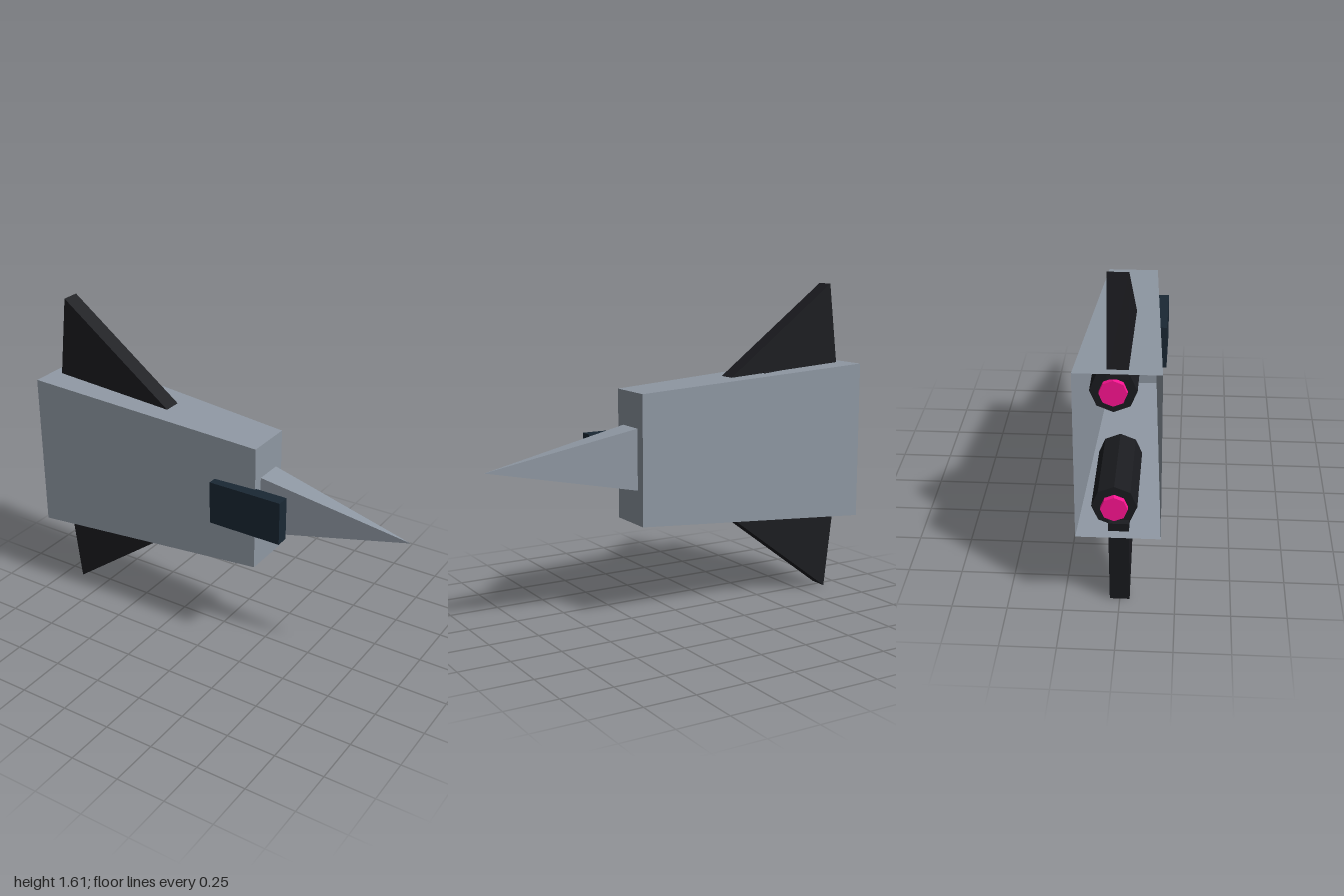
import * as THREE from 'three';

const MID = 0.81; // height of the craft's long axis

const material = (color) =>
  new THREE.MeshStandardMaterial({ color, flatShading: true, side: THREE.DoubleSide });

export function createModel() {
  const model = new THREE.Group();
  model.name = 'spacecraft';
  const hullGrey = material(0x8f98a3);
  const black = material(0x1b1c20);
  const glass = material(0x1a2834);
  const pink = material(0xff1493);

  const add = (name, geometry, mat, x, y, z) => {
    const mesh = new THREE.Mesh(geometry, mat);
    mesh.name = name;
    mesh.position.set(x, y, z);
    model.add(mesh);
    return mesh;
  };

  // Hull: box tapering toward the nose, open at the rear
  const hull = new THREE.BoxGeometry(1.25, 0.8, 0.37);
  const p = hull.attributes.position;
  for (let i = 0; i < p.count; i++) {
    if (p.getX(i) > 0) {
      p.setY(i, p.getY(i) * 0.8);
      p.setZ(i, p.getZ(i) * 0.65);
    }
  }
  const index = Array.from(hull.index.array);
  index.splice(6, 6); // drop the rear face
  hull.setIndex(index);
  hull.clearGroups();
  hull.computeVertexNormals();
  add('hull', hull, hullGrey, -0.375, MID, 0);

  // Nose: four-sided spike
  const nose = new THREE.ConeGeometry(Math.SQRT2, 0.75, 4);
  nose.rotateY(Math.PI / 4);
  nose.rotateZ(-Math.PI / 2);
  nose.scale(1, 0.15, 0.07);
  add('nose', nose, hullGrey, 0.625, MID, 0);

  // Canopy: dark slab on the front side
  add('canopy', new THREE.BoxGeometry(0.385, 0.22, 0.064), glass, 0.223, MID, 0.143);

  // Upper and lower fins and engines
  for (const [side, s] of [['upper', 1], ['lower', -1]]) {
    const outline = new THREE.Shape([
      new THREE.Vector2(-0.96, 0.355 * s),
      new THREE.Vector2(-0.3, 0.355 * s),
      new THREE.Vector2(-0.905, 0.805 * s),
    ]);
    const fin = new THREE.ExtrudeGeometry(outline, { depth: 0.09, bevelEnabled: false });
    add(side + 'Fin', fin, black, 0, MID, -0.045);

    const engine = new THREE.CylinderGeometry(0.1, 0.1, 0.44, 8);
    engine.rotateZ(Math.PI / 2);
    add(side + 'Engine', engine, black, -0.71, MID + 0.285 * s, -0.02);

    const glow = new THREE.CylinderGeometry(0.06, 0.06, 0.05, 8);
    glow.rotateZ(Math.PI / 2);
    add(side + 'EngineGlow', glow, pink, -0.93, MID + 0.285 * s, -0.02);
  }

  return model;
}
